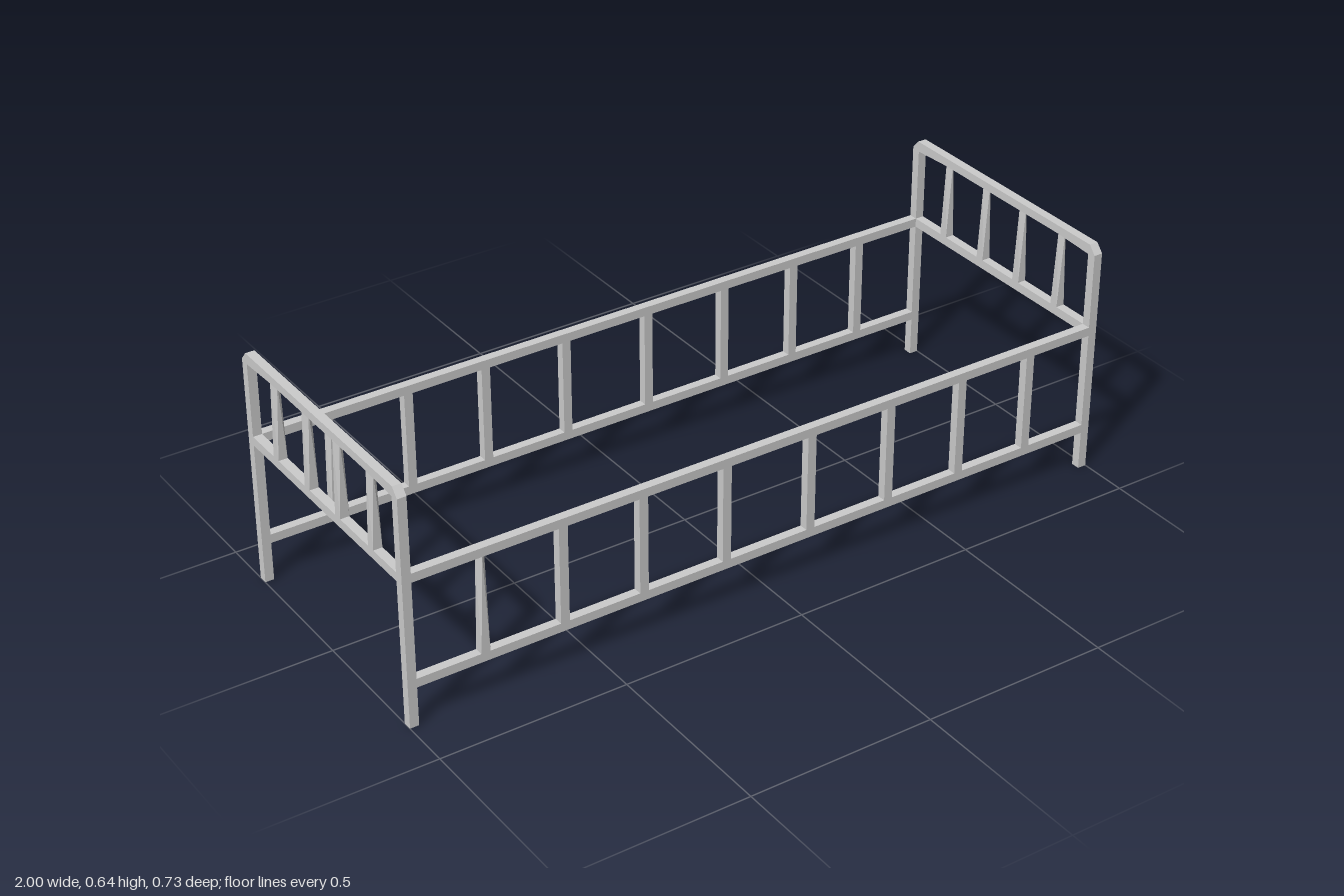
import * as THREE from 'three';

const BAR = 0.024;
const material = new THREE.MeshStandardMaterial({ color: 0xcccccc, flatShading: true });

function add(parent, name, geometry, x, y, z) {
  const mesh = new THREE.Mesh(geometry, material);
  mesh.name = name;
  mesh.position.set(x, y, z);
  parent.add(mesh);
}

// Slat with a square foot that turns into a diamond at the top
function twistedSlat(height) {
  const geometry = new THREE.CylinderGeometry(BAR / 2, BAR / 2, height, 4, 1, true);
  const p = geometry.attributes.position;
  for (let i = 0; i < p.count; i++) {
    if (p.getY(i) < 0) p.setXYZ(i, p.getX(i) + p.getZ(i), p.getY(i), p.getZ(i) - p.getX(i));
  }
  return geometry;
}

// Two posts and the top bar as one arch with cut corners
function archGeometry() {
  const half = [[0.366, 0], [0.366, 0.62], [0.346, 0.643]];
  const inner = [[0.342, 0], [0.342, 0.615], [0.225, 0.621]];
  const mirror = (pts) => pts.map(([x, y]) => [-x, y]).reverse();
  const outline = [...half, ...mirror(half), ...mirror(inner).reverse(), ...inner.slice().reverse()];
  const shape = new THREE.Shape(outline.map(([x, y]) => new THREE.Vector2(x, y)));
  const geometry = new THREE.ExtrudeGeometry(shape, { depth: BAR, bevelEnabled: false });
  return geometry.translate(0, 0, -BAR / 2).rotateY(Math.PI / 2);
}

export function createModel() {
  const bed = new THREE.Group();
  bed.name = 'bedFrame';

  // Head and foot ends
  for (const side of [-1, 1]) {
    const end = new THREE.Group();
    end.name = side < 0 ? 'rightEnd' : 'leftEnd';
    end.position.x = side * 0.988;
    add(end, 'postsAndTopBar', archGeometry(), 0, 0, 0);
    add(end, 'crossRail', new THREE.BoxGeometry(BAR, BAR, 0.69), 0, 0.404, 0);
    for (const z of [-0.225, -0.072, 0.074, 0.227]) {
      add(end, 'endSlat', twistedSlat(0.21), 0, 0.518, z);
    }
    bed.add(end);
  }

  // Long sides
  const slatX = [-0.794, -0.58, -0.361, -0.126, 0.12, 0.356, 0.575, 0.789];
  for (const side of [-1, 1]) {
    const rails = new THREE.Group();
    rails.name = side < 0 ? 'backSide' : 'frontSide';
    rails.position.z = side * 0.354;
    for (const [name, y] of [['upperRail', 0.404], ['lowerRail', 0.118]]) {
      add(rails, name, new THREE.BoxGeometry(1.96, BAR, BAR), 0, y, 0);
    }
    slatX.forEach((x, i) => {
      const geometry = i === 0 ? twistedSlat(0.27) : new THREE.BoxGeometry(BAR, 0.27, BAR);
      add(rails, 'sideSlat', geometry, x, 0.261, 0);
    });
    bed.add(rails);
  }
  return bed;
}
